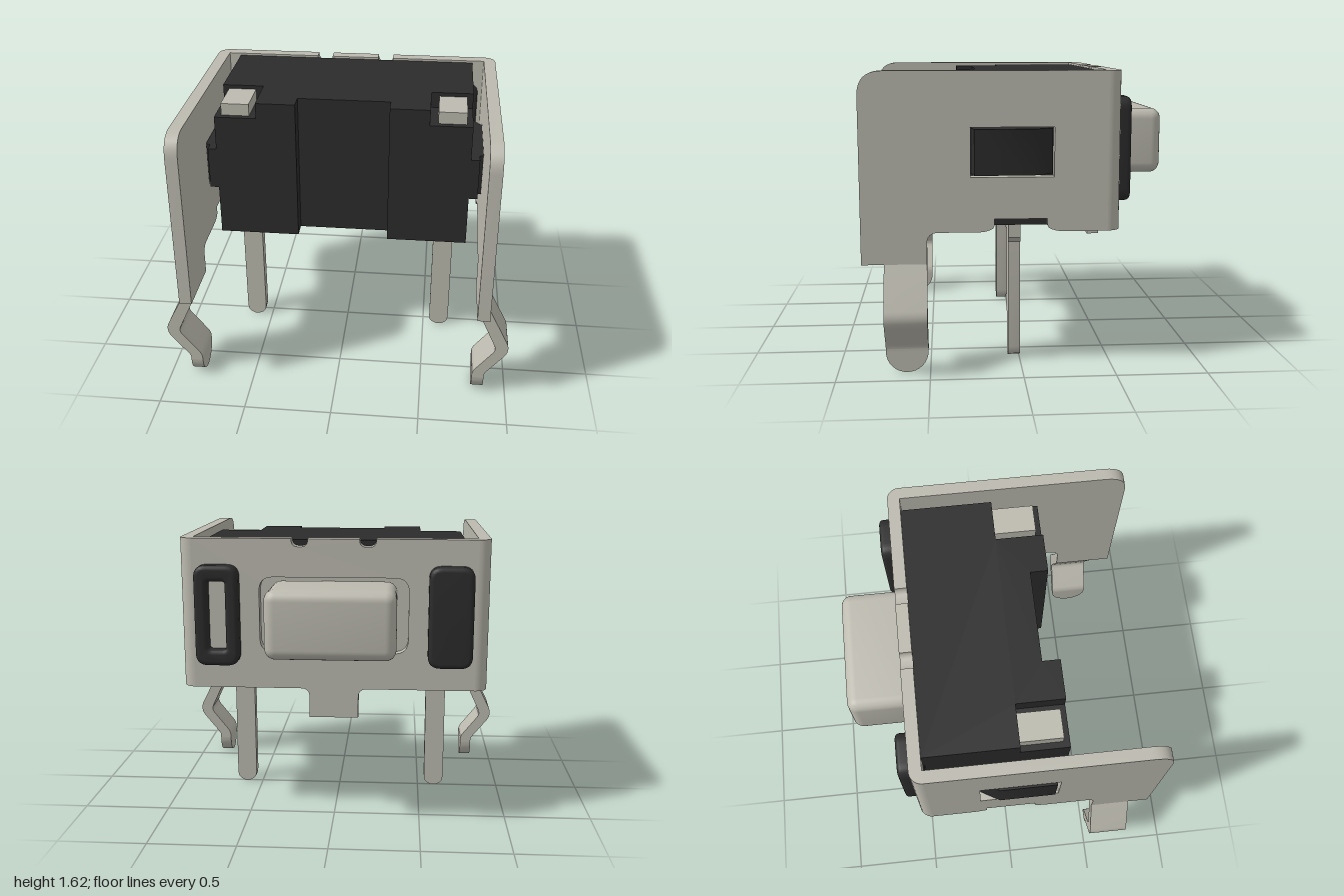
import * as THREE from 'three';
import { toCreasedNormals } from 'three/addons/utils/BufferGeometryUtils.js';
import { RoundedBoxGeometry } from 'three/addons/geometries/RoundedBoxGeometry.js';

const metal = new THREE.MeshStandardMaterial({ color: 0xbdbbb0 });
metal.name = 'metal';
const plastic = new THREE.MeshStandardMaterial({ color: 0x2c2c2c });
plastic.name = 'black plastic';

// Closed outline from [x, y, cornerRadius] points
function outline(points, Type = THREE.Shape) {
  const shape = new Type();
  const n = points.length;
  points.forEach(([x, y, r = 0], i) => {
    const toward = ([px, py]) => {
      const k = r / Math.hypot(px - x, py - y);
      return [x + (px - x) * k, y + (py - y) * k];
    };
    const a = toward(points[(i + n - 1) % n]);
    const b = toward(points[(i + 1) % n]);
    if (i === 0) shape.moveTo(...a); else shape.lineTo(...a);
    if (r) shape.quadraticCurveTo(x, y, ...b);
  });
  shape.closePath();
  return shape;
}

const rect = (x0, x1, y0, y1, r = 0, Type) =>
  outline([[x0, y0, r], [x1, y0, r], [x1, y1, r], [x0, y1, r]], Type);

function extrude(shape, depth, bevel = 0) {
  return new THREE.ExtrudeGeometry(shape, {
    depth: depth - 2 * bevel, curveSegments: 8, bevelEnabled: bevel > 0,
    bevelThickness: bevel, bevelSize: bevel, bevelOffset: -bevel, bevelSegments: 4,
  }).translate(0, 0, bevel);
}

// Outline in (x, y), (z, y) or (x, z), filling the given span of the third axis
const alongZ = (shape, z0, z1, bevel) => extrude(shape, z1 - z0, bevel).translate(0, 0, z0);
const alongX = (shape, x0, x1) => extrude(shape, x1 - x0).rotateY(-Math.PI / 2).translate(x1, 0, 0);
const alongY = (shape, y0, y1) => extrude(shape, y1 - y0).rotateX(Math.PI / 2).translate(0, y1, 0);

export function createModel() {
  const model = new THREE.Group();
  model.name = 'rightAngleSwitch';
  const add = (name, geometry, material) => {
    const mesh = new THREE.Mesh(toCreasedNormals(geometry, 0.6), material);
    mesh.name = name;
    model.add(mesh);
    return mesh;
  };

  const top = 1.625, low = 0.77;

  // Back plate with bottom tab, two top notches and the button opening
  const notch = (x) => [
    [x + 0.046, top], [x + 0.046, top - 0.045, 0.04],
    [x - 0.046, top - 0.045, 0.04], [x - 0.046, top],
  ];
  const back = outline([
    [-0.8, low], [-0.14, low, 0.05], [-0.14, 0.6], [0.14, 0.6], [0.14, low, 0.05], [0.8, low],
    [0.8, top], ...notch(0.19), ...notch(-0.19), [-0.8, top],
  ]);
  back.holes.push(rect(-0.42, 0.42, 0.98, 1.41, 0.08, THREE.Path));
  add('backPlate', alongZ(back, -0.53, -0.46), metal);

  // Side plate outline with snap window and lower notch
  const side = outline([
    [-0.46, low], [-0.19, low, 0.03], [-0.135, 0.79, 0.02], [-0.135, 0.84], [0.15, 0.84],
    [0.15, 0.79, 0.02], [0.2, low, 0.03], [0.51, low, 0.06], [0.51, 0.6], [0.86, 0.6],
    [0.86, top, 0.13], [-0.46, top],
  ]);
  side.holes.push(rect(-0.17, 0.275, 1.065, 1.33, 0, THREE.Path));

  for (const s of [1, -1]) {
    const label = s > 0 ? 'left' : 'right';
    const span = (a, b) => (s > 0 ? [a, b] : [-b, -a]);
    const flip = (points) => points.map(([x, y, r]) => [s * x, y, r]);

    // Bracket side and its rounded bend
    add(label + 'SidePlate', alongX(side, ...span(0.8, 0.87)), metal);
    const bend = new THREE.CylinderGeometry(0.07, 0.07, top - low, 10, 1, false,
      s > 0 ? Math.PI / 2 : Math.PI, Math.PI / 2);
    add(label + 'BracketBend', bend.translate(s * 0.8, (top + low) / 2, -0.46), metal);

    // Kinked mounting leg with a round tip
    const kink = outline(flip([
      [0.8, 0.115], [0.87, 0.115], [0.87, 0.145, 0.02], [1.012, 0.32, 0.06], [0.87, 0.6],
      [0.8, 0.6], [0.93, 0.32, 0.03], [0.8, 0.155, 0.03],
    ]));
    add(label + 'MountingLeg', alongZ(kink, 0.51, 0.74), metal);
    const tip = new THREE.Shape().absarc(0.625, 0.115, 0.115, Math.PI, 2 * Math.PI);
    add(label + 'LegTip', alongX(tip, ...span(0.8, 0.87)), metal);

    // Solder pin with a shoulder
    const pin = outline(flip([
      [0.54, 0.8], [0.54, 0.06], [0.545, 0.03], [0.56, 0.013], [0.585, 0], [0.615, 0],
      [0.64, 0.013], [0.655, 0.03], [0.66, 0.06], [0.66, 0.67], [0.69, 0.7], [0.69, 0.8],
    ]));
    add(label + 'SolderPin', alongZ(pin, -0.005, 0.063), metal);

    // Bent contact end in the top corner recess
    add(label + 'ContactEnd',
      alongY(rect(...span(0.535, 0.695), 0.06, 0.295), 1.52, 1.59), metal);

    // Snap wedge that fills the side window
    const snap = outline(flip([
      [0.7, -0.27], [0.73, -0.27], [0.8, -0.17], [0.82, -0.165], [0.88, -0.06], [0.88, 0.255],
      [0.8, 0.265], [0.78, 0.27], [0.78, 0.33], [0.7, 0.33],
    ]));
    add(label + 'SnapWedge', alongY(snap, 1.075, 1.32), plastic);

    // Locating pad; the left one is slotted
    const pad = rect(...span(0.53, 0.78), 0.91, 1.48, 0.07);
    if (s > 0) {
      pad.holes.push(rect(0.605, 0.705, 1.0, 1.39, 0.02, THREE.Path));
      add('slotBackFace', new THREE.BoxGeometry(0.13, 0.42, 0.008).translate(0.655, 1.195, -0.466), metal);
    }
    add(label + 'LocatingPad', alongZ(pad, -0.6, -0.45, 0.025), plastic);
  }

  // Housing: full lower block, then a top layer with corner recesses
  const recess = [[0.265, 0.33], [0.265, 0.23], [-0.265, 0.23], [-0.265, 0.33]];
  add('housing', alongY(outline([
    [-0.73, -0.46], [0.73, -0.46], [0.73, 0.33], ...recess, [-0.73, 0.33],
  ]), 0.78, 1.52), plastic);
  add('housingTop', alongY(outline([
    [-0.73, -0.46], [0.73, -0.46], [0.73, 0.06], [0.49, 0.06], [0.49, 0.33],
    ...recess, [-0.49, 0.33], [-0.49, 0.06], [-0.73, 0.06],
  ]), 1.52, 1.612), plastic);

  // Push button and its flange behind the opening
  const button = new RoundedBoxGeometry(0.71, 0.38, 0.42, 5, 0.06).translate(0, 1.195, -0.65);
  add('pushButton', button, metal);
  add('buttonFlange', new THREE.BoxGeometry(0.84, 0.43, 0.008).translate(0, 1.195, -0.466), metal);

  return model;
}
